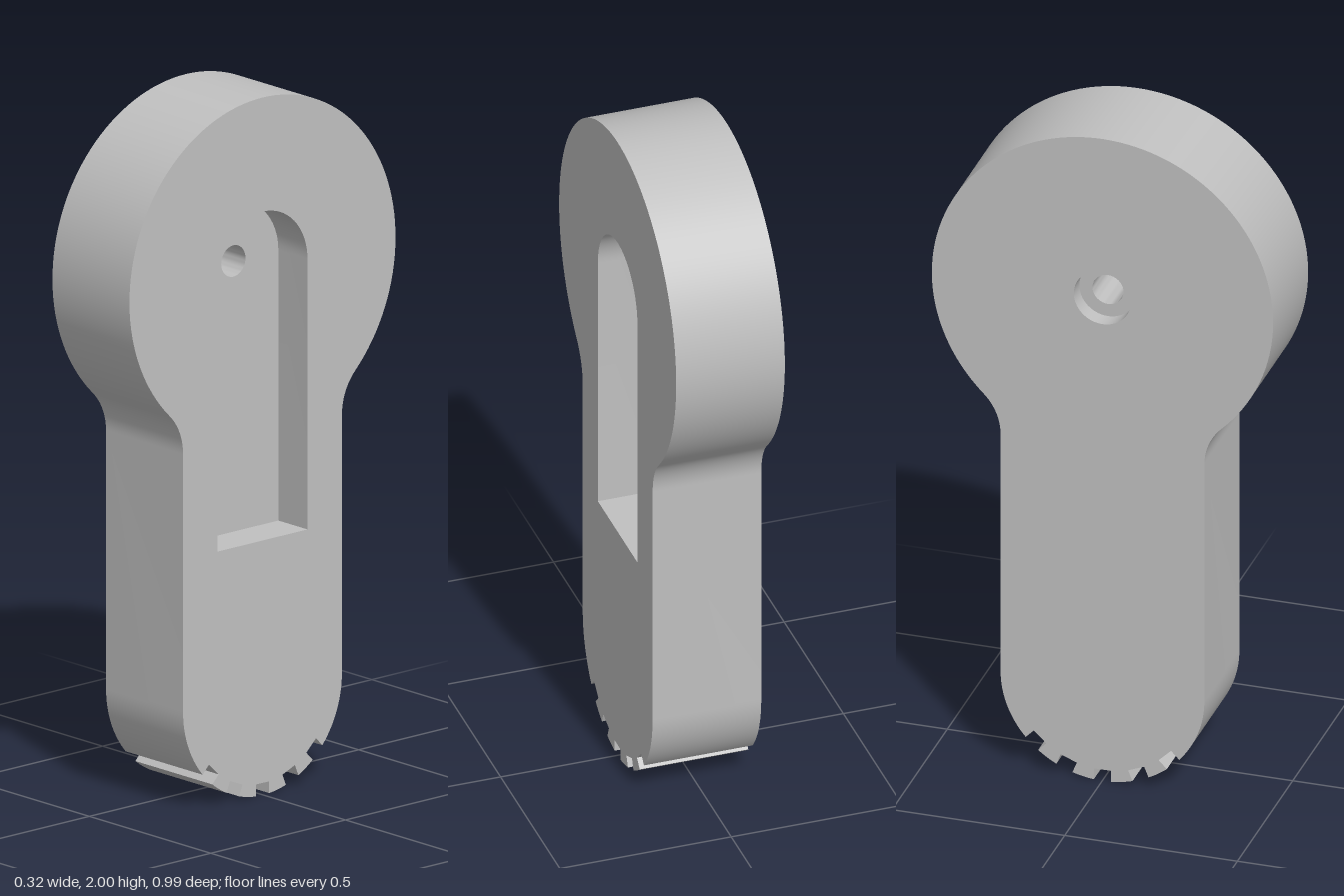
import * as THREE from 'three';
import { toCreasedNormals } from 'three/addons/utils/BufferGeometryUtils.js';

const HALF = 0.1585;                        // half thickness
const HEAD_R = 0.494, HEAD_Y = 1.506;       // round head
const SHANK = 0.295;                        // half width of shank and radius of its end
const FILLET = 0.165;                       // neck fillet
const POCKET_R = 0.167, POCKET_BOTTOM = 0.73, POCKET_FLOOR = HALF - 0.12;
const BORE_R = 0.083, BORE_FLOOR = -HALF + 0.05;
const HOLE_R = 0.045;
const rad = THREE.MathUtils.degToRad;

// Points along an arc, from angle a to b
function arc(cx, cy, r, a, b, n) {
  return Array.from({ length: n + 1 }, (_, i) => {
    const t = a + (b - a) * i / n;
    return new THREE.Vector2(cx + r * Math.cos(t), cy + r * Math.sin(t));
  });
}

// Drops repeated neighbouring points
const clean = (pts) => pts.filter((p, i) => p.distanceTo(pts[(i + 1) % pts.length]) > 1e-5);

// Counter-clockwise silhouette with five notches cut in the rounded end
function outlinePoints() {
  const pts = [];
  const half = 0.025, inner = 0.26;
  const rim = Math.asin(half / SHANK);
  let from = -Math.PI;
  for (let k = -2; k <= 2; k++) {
    const mid = rad(-90 + 22 * k);
    pts.push(...arc(0, SHANK, SHANK, from, mid - rim, Math.abs(k) === 2 && k < 0 ? 16 : 5));
    for (const s of [-half, half]) {
      pts.push(new THREE.Vector2(
        inner * Math.cos(mid) - s * Math.sin(mid),
        SHANK + inner * Math.sin(mid) + s * Math.cos(mid)));
    }
    from = mid + rim;
  }
  pts.push(...arc(0, SHANK, SHANK, from, 0, 16));
  const a = Math.acos((SHANK + FILLET) / (HEAD_R + FILLET));
  const fy = HEAD_Y - (HEAD_R + FILLET) * Math.sin(a), fx = SHANK + FILLET;
  pts.push(...arc(fx, fy, FILLET, Math.PI, Math.PI - a, 12));
  pts.push(...arc(0, HEAD_Y, HEAD_R, -a, Math.PI + a, 96));
  pts.push(...arc(-fx, fy, FILLET, a, 0, 12));
  return clean(pts);
}

// Side wall along a closed contour; a clockwise contour faces inward
function wall(pts, z0, z1) {
  const pos = [];
  pts.forEach((p, i) => {
    const q = pts[(i + 1) % pts.length];
    pos.push(p.x, p.y, z0, q.x, q.y, z0, q.x, q.y, z1);
    pos.push(p.x, p.y, z0, q.x, q.y, z1, p.x, p.y, z1);
  });
  const g = new THREE.BufferGeometry();
  g.setAttribute('position', new THREE.Float32BufferAttribute(pos, 3));
  return toCreasedNormals(g, 0.5);
}

// Flat face with an optional hole; all contours are mirror-symmetric
function face(pts, hole, z, back = false) {
  const shape = new THREE.Shape(pts);
  if (hole) shape.holes.push(new THREE.Path(hole));
  const g = new THREE.ShapeGeometry(shape);
  if (back) g.rotateY(Math.PI);
  return g.translate(0, 0, z);
}

export function createModel() {
  const model = new THREE.Group();
  model.name = 'lever';
  const grey = new THREE.MeshStandardMaterial({ color: 0xc0c0c0 });
  grey.name = 'grey';

  const add = (name, geometry) => {
    geometry.rotateY(Math.PI / 2);          // thickness runs along x
    const mesh = new THREE.Mesh(geometry, grey);
    mesh.name = name;
    model.add(mesh);
  };

  const outline = outlinePoints();
  const circle = (r) => clean(arc(0, HEAD_Y, r, 2 * Math.PI, 0, 40));
  const bore = circle(BORE_R), hole = circle(HOLE_R);
  const pocket = [
    ...arc(0, HEAD_Y, POCKET_R, Math.PI, 0, 32),
    new THREE.Vector2(POCKET_R, POCKET_BOTTOM),
    new THREE.Vector2(-POCKET_R, POCKET_BOTTOM),
  ];

  // Body
  add('outerWall', wall(outline, -HALF, HALF));
  add('leftFace', face(outline, pocket, HALF));
  add('rightFace', face(outline, bore, -HALF, true));

  // Round-topped pocket
  add('pocketWall', wall(pocket, POCKET_FLOOR, HALF));
  add('pocketFloor', face(pocket, hole, POCKET_FLOOR));

  // Counterbore and through hole
  add('counterboreWall', wall(bore, -HALF, BORE_FLOOR));
  add('counterboreFloor', face(bore, hole, BORE_FLOOR, true));
  add('throughHole', wall(hole, BORE_FLOOR, POCKET_FLOOR));

  return model;
}
